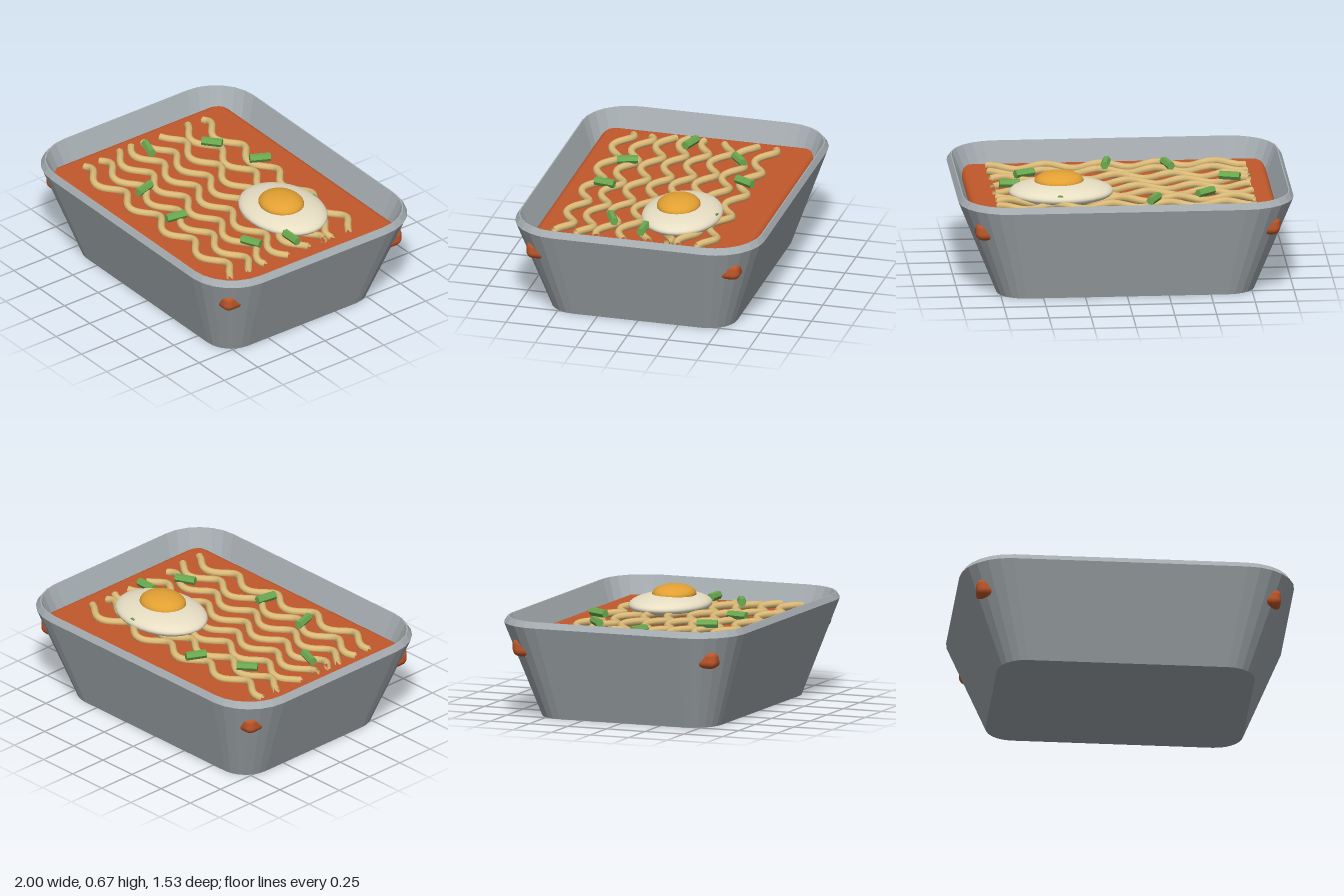
import * as THREE from 'three';
import { RoundedBoxGeometry } from 'three/addons/geometries/RoundedBoxGeometry.js';

const mat = (name, color, side = THREE.FrontSide) => {
  const m = new THREE.MeshStandardMaterial({ color, side });
  m.name = name;
  return m;
};

// Rounded rectangle loop at height y, with half sizes hx, hz and corner radius r
function ring(hx, hz, r, y, seg = 6) {
  const pts = [];
  for (let c = 0; c < 4; c++) {
    const sx = c === 0 || c === 3 ? 1 : -1;
    const sz = c < 2 ? 1 : -1;
    for (let i = 0; i <= seg; i++) {
      const a = (c + i / seg) * Math.PI / 2;
      pts.push([sx * (hx - r) + r * Math.cos(a), y, sz * (hz - r) + r * Math.sin(a)]);
    }
  }
  return pts;
}

// Skin consecutive loops with flat faces and close both ends with a fan
function loft(rings) {
  const pos = [];
  const tri = (a, b, c) => pos.push(...a, ...b, ...c);
  const n = rings[0].length;
  for (let k = 0; k < rings.length - 1; k++) {
    const lo = rings[k], hi = rings[k + 1];
    for (let i = 0; i < n; i++) {
      const j = (i + 1) % n;
      tri(lo[i], hi[i], hi[j]);
      tri(lo[i], hi[j], lo[j]);
    }
  }
  const first = rings[0], last = rings[rings.length - 1];
  for (let i = 0; i < n; i++) {
    const j = (i + 1) % n;
    tri([0, first[0][1], 0], first[i], first[j]);
    tri([0, last[0][1], 0], last[j], last[i]);
  }
  const g = new THREE.BufferGeometry();
  g.setAttribute('position', new THREE.Float32BufferAttribute(pos, 3));
  g.computeVertexNormals();
  return g;
}

export function createModel() {
  const model = new THREE.Group();
  model.name = 'noodleTray';
  const gray = mat('tray gray', 0xa6adb1);
  const red = mat('broth red', 0xc2592b);
  const tan = mat('noodle tan', 0xdcbb78, THREE.DoubleSide);
  const cream = mat('egg white cream', 0xe8dfc4);
  const gold = mat('yolk gold', 0xe2a032);
  const green = mat('onion green', 0x6caa50);

  const add = (name, geometry, material, x = 0, y = 0, z = 0, parent = model) => {
    const mesh = new THREE.Mesh(geometry, material);
    mesh.name = name;
    mesh.position.set(x, y, z);
    parent.add(mesh);
    return mesh;
  };

  // Tapered tray: outer wall, bevelled rim, inner wall and floor
  add('tray', loft([
    ring(0.77, 0.57, 0.17, 0),
    ring(1.0, 0.765, 0.3, 0.575),
    ring(0.977, 0.745, 0.285, 0.61),
    ring(0.97, 0.738, 0.28, 0.61),
    ring(0.74, 0.54, 0.16, 0.05),
  ]), gray);

  // Broth slab, its corners reaching through the tray corners
  add('broth', new RoundedBoxGeometry(1.82, 0.12, 1.32, 4, 0.045), red, 0, 0.44, 0);

  // Wavy noodles: one crest position per row
  const noodles = new THREE.Group();
  noodles.name = 'noodles';
  model.add(noodles);
  [-0.40, -0.46, -0.64, -0.58, -0.53, -0.47, -0.38, -0.40].forEach((crest, row) => {
    const pts = [];
    for (let i = 0; i <= 36; i++) {
      const x = -0.78 + 1.535 * i / 36;
      const a = (x - crest) / 0.337 * Math.PI * 2;
      pts.push(new THREE.Vector3(x, 0.515 + 0.008 * Math.sin(a), -0.4 + row * 0.126 - 0.045 * Math.cos(a)));
    }
    add('noodle', new THREE.TubeGeometry(new THREE.CatmullRomCurve3(pts), 72, 0.023, 8), tan, 0, 0, 0, noodles);
  });

  // Fried egg
  const dome = new THREE.SphereGeometry(1, 32, 20);
  add('eggWhite', dome, cream, 0.365, 0.547, -0.165).scale.set(0.313, 0.068, 0.238);
  add('eggYolk', dome, gold, 0.375, 0.605, -0.145).scale.set(0.148, 0.06, 0.13);

  // Spring onion pieces: x, z, turn in degrees
  const onions = new THREE.Group();
  onions.name = 'springOnions';
  model.add(onions);
  const stalk = new THREE.CylinderGeometry(0.026, 0.026, 0.125, 6).rotateZ(Math.PI / 2).toNonIndexed();
  stalk.computeVertexNormals();
  [
    [-0.49, -0.28, 40], [-0.175, -0.40, 63], [-0.66, 0.065, -18], [-0.31, 0.36, -73],
    [0.055, 0.40, 80], [0.555, 0.215, 25], [0.66, -0.005, 0], [0.38, -0.325, 85],
  ].forEach(([x, z, turn]) => {
    add('onionPiece', stalk, green, x, 0.555, z, onions).rotation.y = THREE.MathUtils.degToRad(turn);
  });

  return model;
}
